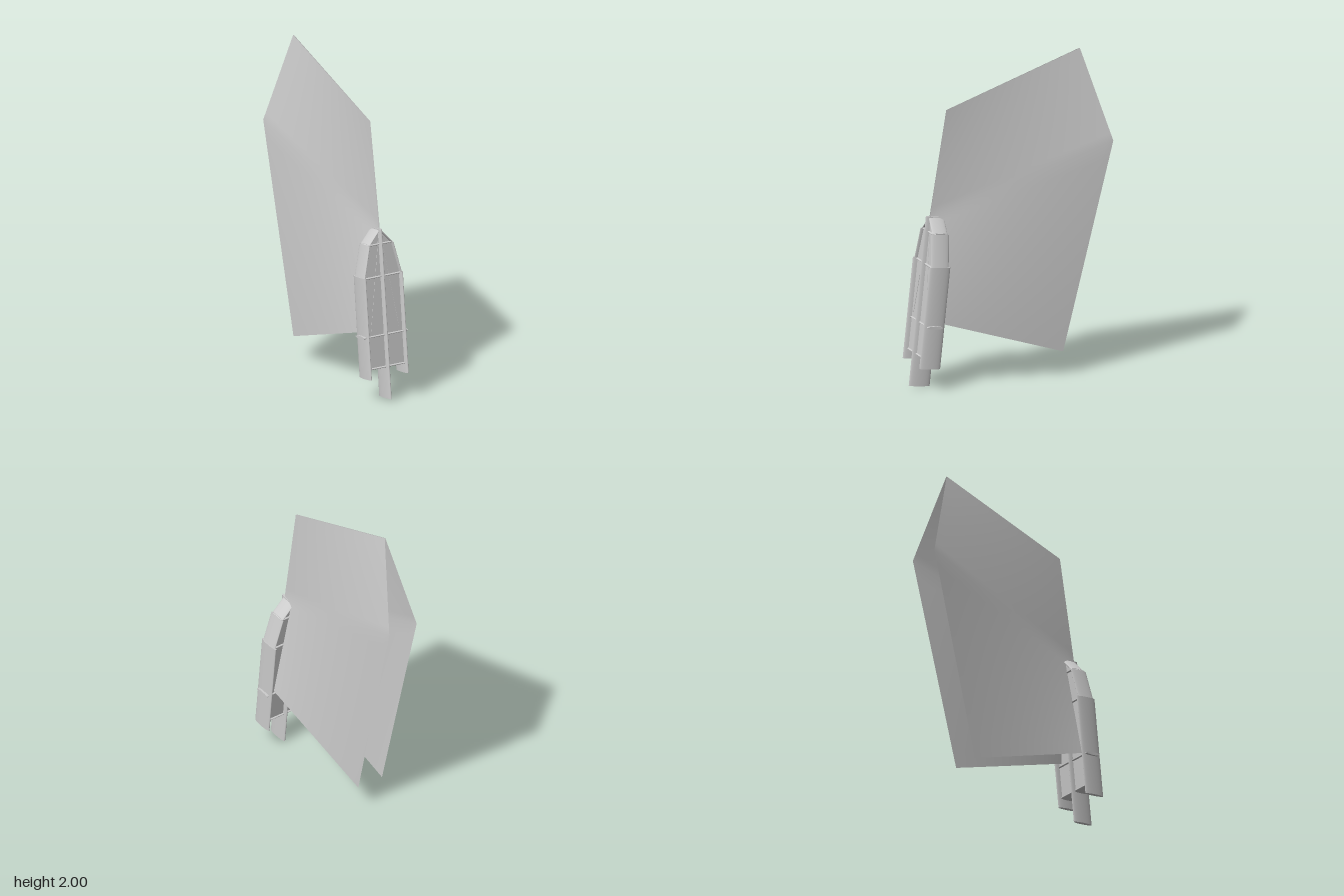
import * as THREE from 'three';

const material = new THREE.MeshStandardMaterial({ color: 0xcccccc, side: THREE.DoubleSide });

// Slat with an elliptical section between two points of the frame plane
function slat(name, [x1, y1], [x2, y2], depth, thickness) {
  const dx = x2 - x1, dy = y2 - y1;
  const geometry = new THREE.CylinderGeometry(0.5, 0.5, 1, 24);
  geometry.scale(thickness, Math.hypot(dx, dy), depth);
  const mesh = new THREE.Mesh(geometry, material);
  mesh.name = name;
  mesh.position.set((x1 + x2) / 2, (y1 + y2) / 2, 0);
  mesh.rotation.z = Math.atan2(-dx, dy);
  return mesh;
}

// Thin twisted sheet ruled between its front edge and its rear edge
function wingGeometry() {
  const front = [[0.003, 1.705, 0.40], [0.003, 1.055, 0.508], [0.098, 0.44, 0.573]];
  const rear = [[0.002, 2.0, -0.465], [0.104, 1.43, -0.64], [0.09, 0.148, -0.32]];
  const steps = 24;
  const along = (edge, t) => {
    const i = Math.min(Math.floor(t * 2), 1);
    return new THREE.Vector3(...edge[i]).lerp(new THREE.Vector3(...edge[i + 1]), t * 2 - i);
  };
  const geometry = new THREE.PlaneGeometry(1, 1, steps, steps);
  const position = geometry.attributes.position;
  for (let row = 0; row <= steps; row++) {
    for (let col = 0; col <= steps; col++) {
      const p = along(front, row / steps).lerp(along(rear, row / steps), col / steps);
      position.setXYZ(row * (steps + 1) + col, p.x, p.y, p.z);
    }
  }
  geometry.computeVertexNormals();
  return geometry;
}

export function createModel() {
  const model = new THREE.Group();
  model.name = 'wingedFrame';

  // Frame leaning slightly back
  const frame = new THREE.Group();
  frame.name = 'frame';
  frame.position.set(0, 0.007, 0.577);
  frame.rotation.x = -0.106;
  model.add(frame);

  // Upright fins and slanted shoulder slats
  frame.add(slat('centreFin', [0, 0], [0, 1.05], 0.136, 0.025));
  for (const side of [1, -1]) {
    const s = side > 0 ? 'left' : 'right';
    frame.add(
      slat(s + 'Fin', [side * 0.13, 0.138], [side * 0.13, 0.766], 0.136, 0.024),
      slat(s + 'LowerShoulder', [side * 0.13, 0.76], [side * 0.083, 0.957], 0.116, 0.018),
      slat(s + 'UpperShoulder', [side * 0.083, 0.954], [side * 0.002, 1.043], 0.1, 0.018),
    );
  }

  // Cross slats: height, half width
  for (const [y, w] of [[0.2, 0.125], [0.397, 0.155], [0.758, 0.13], [0.957, 0.085]]) {
    frame.add(slat('crossSlat', [-w, y], [w, y], 0.1, 0.019));
  }

  // Thick body filling the frame between the fins
  const outline = [[-0.13, 0.2], [0.13, 0.2], [0.13, 0.762], [0.083, 0.956],
    [0, 1.043], [-0.083, 0.956], [-0.13, 0.762]].map(([x, y]) => new THREE.Vector2(x, y));
  const body = new THREE.Mesh(
    new THREE.ExtrudeGeometry(new THREE.Shape(outline), { depth: 0.08, bevelEnabled: false }),
    material,
  );
  body.name = 'frameBody';
  body.position.z = -0.04;
  frame.add(body);

  // Pair of wings
  const leftWing = new THREE.Mesh(wingGeometry(), material);
  leftWing.name = 'leftWing';
  const rightWing = leftWing.clone();
  rightWing.name = 'rightWing';
  rightWing.scale.x = -1;
  model.add(leftWing, rightWing);
  return model;
}
